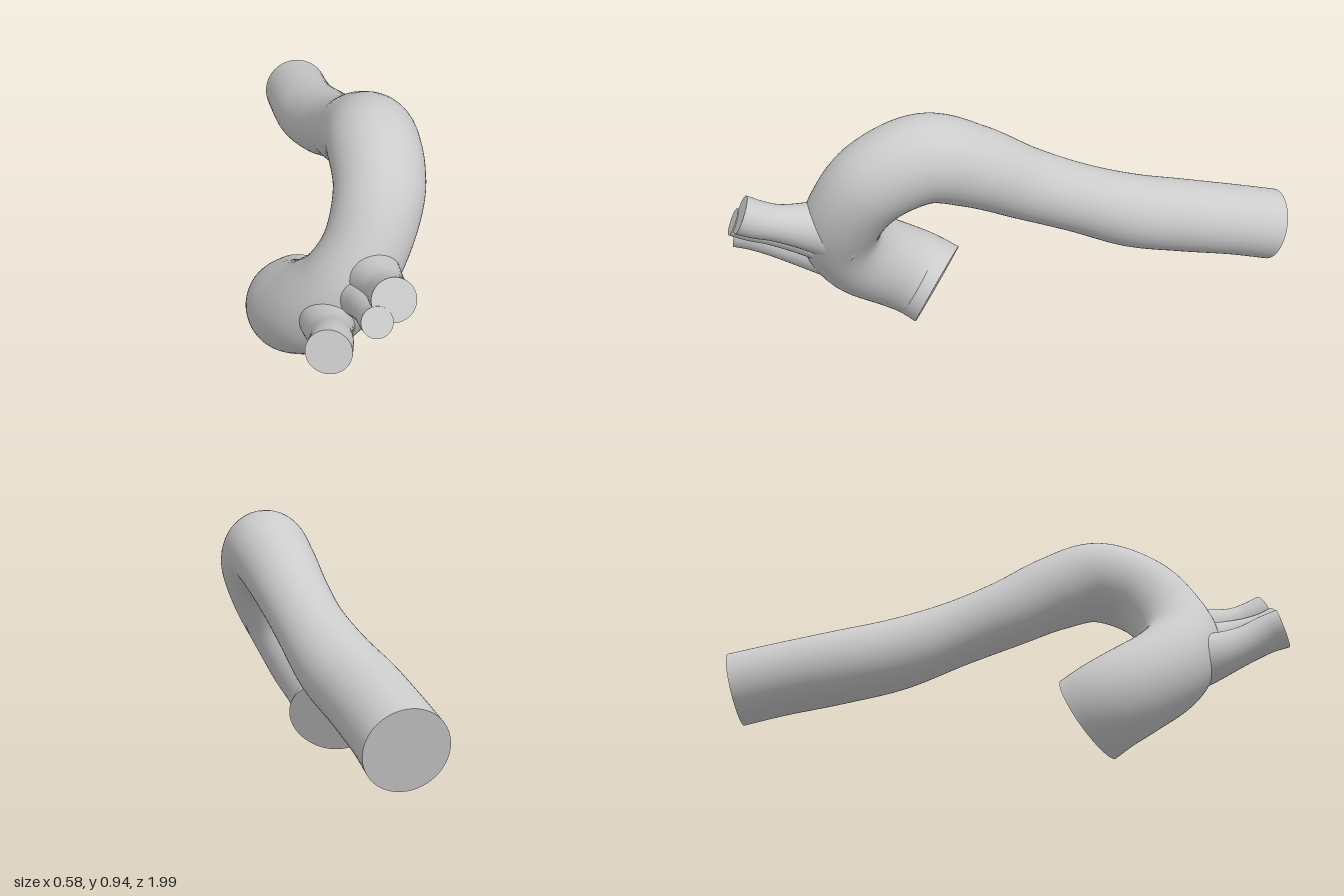
import * as THREE from 'three';

const material = new THREE.MeshStandardMaterial({ color: 0xcccccc });

// Round tube swept through [x, y, z, radius] stations, closed by flat end discs
function vessel(name, stations, steps, sides) {
  const curve = new THREE.CatmullRomCurve3(stations.map(s => new THREE.Vector3(s[0], s[1], s[2])));
  const radii = new THREE.SplineCurve(stations.map((s, i) => new THREE.Vector2(i, s[3])));
  const frames = curve.computeFrenetFrames(steps, false);
  const pos = [], index = [];

  const addRing = (i) => {
    const c = curve.getPointAt(i / steps);
    const r = radii.getPoint(curve.getUtoTmapping(i / steps)).y;
    for (let j = 0; j < sides; j++) {
      const a = (j / sides) * Math.PI * 2;
      const p = c.clone()
        .addScaledVector(frames.normals[i], r * Math.cos(a))
        .addScaledVector(frames.binormals[i], r * Math.sin(a));
      pos.push(p.x, p.y, p.z);
    }
    return c;
  };

  // Wall
  for (let i = 0; i <= steps; i++) addRing(i);
  for (let i = 0; i < steps; i++) {
    for (let j = 0; j < sides; j++) {
      const a = i * sides + j, b = i * sides + (j + 1) % sides;
      index.push(a, b, b + sides, a, b + sides, a + sides);
    }
  }
  // End discs on their own vertices, so the rims stay sharp
  for (const i of [0, steps]) {
    const first = pos.length / 3;
    const c = addRing(i);
    pos.push(c.x, c.y, c.z);
    for (let j = 0; j < sides; j++) {
      const a = first + j, b = first + (j + 1) % sides;
      if (i === 0) index.push(first + sides, b, a);
      else index.push(first + sides, a, b);
    }
  }

  const geometry = new THREE.BufferGeometry();
  geometry.setAttribute('position', new THREE.Float32BufferAttribute(pos, 3));
  geometry.setIndex(index);
  geometry.computeVertexNormals();
  const mesh = new THREE.Mesh(geometry, material);
  mesh.name = name;
  return mesh;
}

export function createModel() {
  const group = new THREE.Group();
  group.name = 'archedVessel';

  // Main vessel: long rear run, arch over the top, then down and back to the lower opening
  group.add(vessel('mainVessel', [
    [0.04, 0.31, -0.96, 0.131],
    [0.04, 0.345, -0.82, 0.13],
    [0.05, 0.398, -0.6, 0.132],
    [0.08, 0.46, -0.4, 0.13],
    [0.103, 0.55, -0.19, 0.12],
    [0.112, 0.635, 0.0, 0.125],
    [0.125, 0.727, 0.18, 0.139],
    [0.132, 0.775, 0.34, 0.149],
    [0.125, 0.71, 0.505, 0.144],
    [0.07, 0.57, 0.602, 0.135],
    [0.0, 0.45, 0.62, 0.139],
    [-0.075, 0.325, 0.555, 0.153],
    [-0.132, 0.215, 0.42, 0.157],
    [-0.132, 0.165, 0.34, 0.158],
    [-0.1, 0.132, 0.28, 0.16],
  ], 140, 56));

  // Front branches, flaring where they leave the main vessel
  group.add(vessel('upperBranch', [
    [0.05, 0.49, 0.6, 0.115],
    [0.075, 0.535, 0.72, 0.085],
    [0.088, 0.57, 0.83, 0.063],
    [0.09, 0.595, 0.9, 0.064],
    [0.09, 0.617, 0.946, 0.066],
  ], 36, 36));
  group.add(vessel('middleBranch', [
    [0.02, 0.44, 0.6, 0.115],
    [0.035, 0.48, 0.74, 0.07],
    [0.038, 0.515, 0.85, 0.05],
    [0.038, 0.54, 0.925, 0.047],
    [0.038, 0.565, 0.975, 0.047],
  ], 36, 36));
  group.add(vessel('lowerBranch', [
    [-0.04, 0.355, 0.58, 0.13],
    [-0.062, 0.37, 0.7, 0.09],
    [-0.072, 0.41, 0.82, 0.067],
    [-0.083, 0.45, 0.91, 0.066],
    [-0.098, 0.465, 0.965, 0.069],
  ], 36, 36));

  return group;
}
